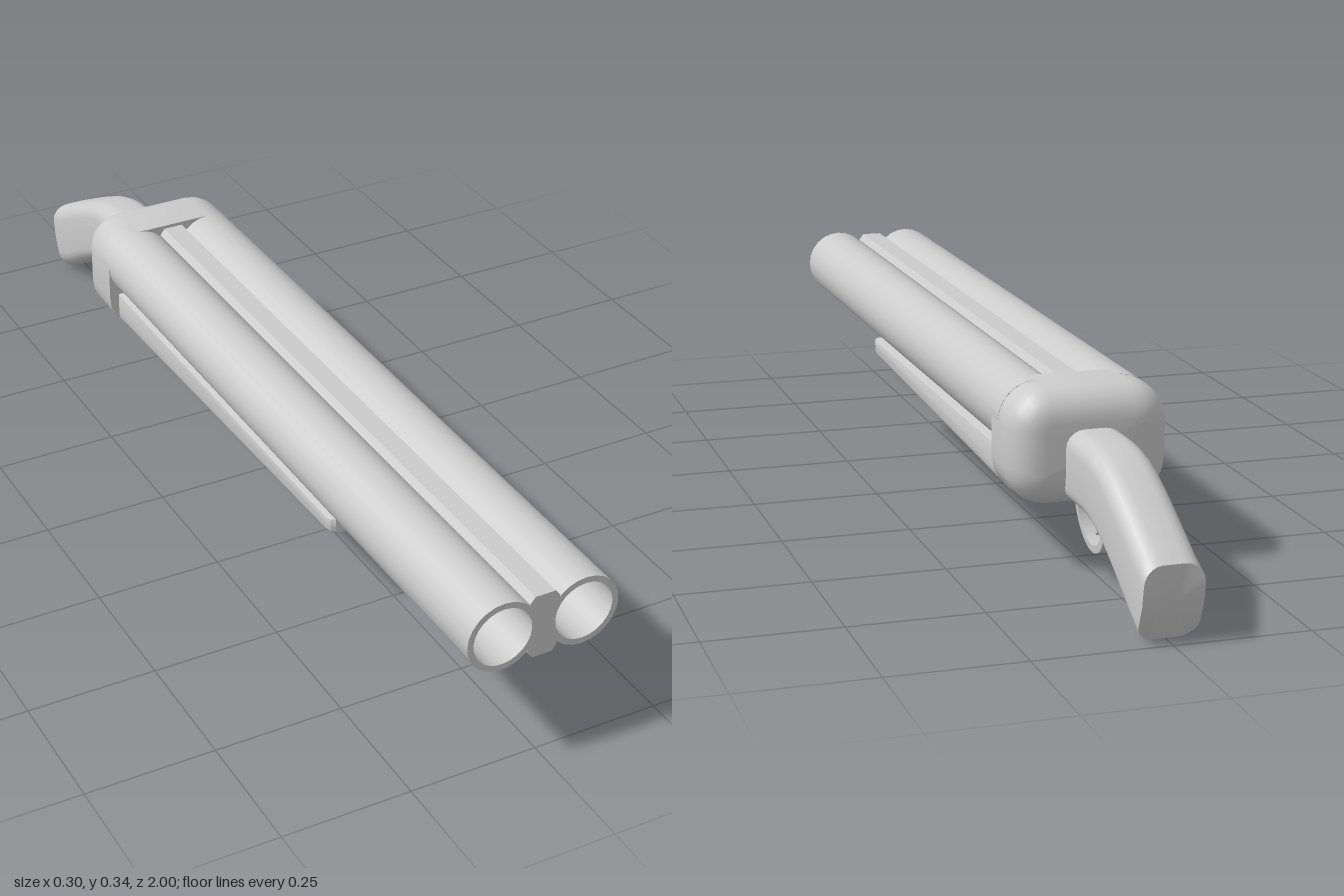
import * as THREE from 'three';
import { toCreasedNormals } from 'three/addons/utils/BufferGeometryUtils.js';

const material = new THREE.MeshStandardMaterial({ color: 0xcccccc });

function part(name, geometry, crease = 0.6) {
  const mesh = new THREE.Mesh(toCreasedNormals(geometry, crease), material);
  mesh.name = name;
  return mesh;
}

// Rounded rectangle, counter-clockwise, starting at the middle of the +x side
function ring(hw, hh, rTop, rBottom, steps = 5) {
  const pts = [[hw, 0]];
  for (let c = 0; c < 4; c++) {
    const r = c < 2 ? rTop : rBottom;
    const cx = (c === 0 || c === 3 ? 1 : -1) * (hw - r);
    const cy = (c < 2 ? 1 : -1) * (hh - r);
    if (c === 2) pts.push([-hw, 0]);
    for (let i = 0; i <= steps; i++) {
      const a = (c + i / steps) * Math.PI / 2;
      pts.push([cx + r * Math.cos(a), cy + r * Math.sin(a)]);
    }
  }
  return pts;
}

// Skin over matching sections [x, y, z], ordered front to back, with capped ends
function loft(sections) {
  const n = sections[0].length, pos = sections.flat(2), index = [];
  for (let s = 0; s < sections.length - 1; s++) {
    for (let i = 0; i < n; i++) {
      const a = s * n + i, b = s * n + (i + 1) % n;
      index.push(a, a + n, b, b, a + n, b + n);
    }
  }
  for (const s of [0, sections.length - 1]) {
    const p = sections[s][0], q = sections[s][n / 2];
    const centre = pos.length / 3;
    pos.push(...p.map((v, k) => (v + q[k]) / 2));
    for (let i = 0; i < n; i++) {
      const a = s * n + i, b = s * n + (i + 1) % n;
      index.push(centre, s ? b : a, s ? a : b);
    }
  }
  const g = new THREE.BufferGeometry();
  g.setAttribute('position', new THREE.Float32BufferAttribute(pos, 3));
  g.setIndex(index);
  return g;
}

// Side profile drawn as (z, y), extruded across x and centred
function sideExtrude(shape, width) {
  return new THREE.ExtrudeGeometry(shape, { depth: width, bevelEnabled: false, curveSegments: 20 })
    .translate(0, 0, -width / 2).rotateY(-Math.PI / 2);
}

export function createModel() {
  const model = new THREE.Group();

  // Twin hollow barrels
  for (const side of [1, -1]) {
    const profile = [[0, -0.5], [0.07, -0.5], [0.07, 1], [0.058, 1], [0.058, -0.46], [0, -0.46]]
      .map(([x, y]) => new THREE.Vector2(x, y));
    const g = new THREE.LatheGeometry(profile, 24).rotateX(Math.PI / 2).translate(side * 0.081, 0.275, 0);
    model.add(part(side > 0 ? 'leftBarrel' : 'rightBarrel', g));
  }

  // Rib filling the space between the barrels
  const half = [[0.02, 0.21], [0.03, 0.225], [0.02, 0.25], [0.015, 0.275], [0.02, 0.3], [0.03, 0.325], [0.02, 0.338]];
  const outline = [...half, ...half.map(([x, y]) => [-x, y]).reverse()];
  const rib = new THREE.Shape(outline.map(([x, y]) => new THREE.Vector2(x, y)));
  model.add(part('rib', new THREE.ExtrudeGeometry(rib, { depth: 1.5, bevelEnabled: false }).translate(0, 0, -0.5), 0.3));

  // Receiver block, its rear edge rounded by inset sections
  const receiver = [[-0.46, 0]];
  const round = 0.06;
  for (let i = 0; i <= 6; i++) {
    const a = i / 6 * Math.PI / 2;
    receiver.push([-0.6 + round - round * Math.sin(a), round * (1 - Math.cos(a))]);
  }
  model.add(part('receiver', loft(receiver.map(([z, inset]) => {
    const r = 0.072 - inset;
    return ring(0.151 - inset, 0.109 - inset, r, r).map(([x, y]) => [x, y + 0.236, z]);
  }))));

  // Tapered fore-end under the barrels: z, half width, bottom y, lower corner radius
  const foreEnd = [[0.485, 0.119, 0.176, 0.012], [0.479, 0.127, 0.171, 0.016], [0.465, 0.131, 0.169, 0.018], [-0.47, 0.131, 0.131, 0.028]];
  model.add(part('foreEnd', loft(foreEnd.map(([z, hw, bottom, r]) => {
    const top = 0.208, hh = (top - bottom) / 2;
    return ring(hw, hh, 0.003, r).map(([x, y]) => [x, y + top - hh, z]);
  }))));

  // Curved grip: top and bottom edge points (z, y) for each section
  const top = new THREE.SplineCurve([[-0.54, 0.272], [-0.63, 0.274], [-0.71, 0.272], [-0.78, 0.255], [-0.87, 0.214], [-1, 0.145]]
    .map(p => new THREE.Vector2(...p)));
  const bottom = new THREE.SplineCurve([[-0.54, 0.134], [-0.62, 0.136], [-0.69, 0.134], [-0.75, 0.119], [-0.83, 0.081], [-0.96, 0.003]]
    .map(p => new THREE.Vector2(...p)));
  const sections = [];
  const count = 16;
  for (let s = 0; s <= count; s++) {
    const a = top.getPoint(s / count), b = bottom.getPoint(s / count);
    const bulge = s === count ? 0.016 : 0;
    sections.push(ring(0.055, 0.07, 0.035, 0.033).map(([x, y]) => {
      const t = (y + 0.07) / 0.14;
      return [x, b.y + (a.y - b.y) * t, b.x + (a.x - b.x) * t - bulge * 4 * t * (1 - t)];
    }));
  }
  model.add(part('grip', loft(sections)));

  // Trigger guard hoop, narrowing toward its lowest point
  const guard = new THREE.Shape();
  guard.absellipse(-0.632, 0.137, 0.078, 0.083, Math.PI, 2 * Math.PI, false);
  guard.absellipse(-0.632, 0.137, 0.064, 0.069, 2 * Math.PI, Math.PI, true);
  const guardGeometry = sideExtrude(guard, 0.044);
  const p = guardGeometry.attributes.position;
  for (let i = 0; i < p.count; i++) {
    p.setX(i, p.getX(i) * THREE.MathUtils.mapLinear(p.getY(i), 0.054, 0.137, 0.7, 1));
  }
  model.add(part('triggerGuard', guardGeometry));

  // Curved trigger
  const trigger = new THREE.Shape();
  trigger.moveTo(-0.655, 0.145);
  trigger.quadraticCurveTo(-0.652, 0.105, -0.63, 0.084);
  trigger.lineTo(-0.626, 0.088);
  trigger.quadraticCurveTo(-0.64, 0.11, -0.636, 0.145);
  model.add(part('trigger', sideExtrude(trigger, 0.016)));

  return model;
}
